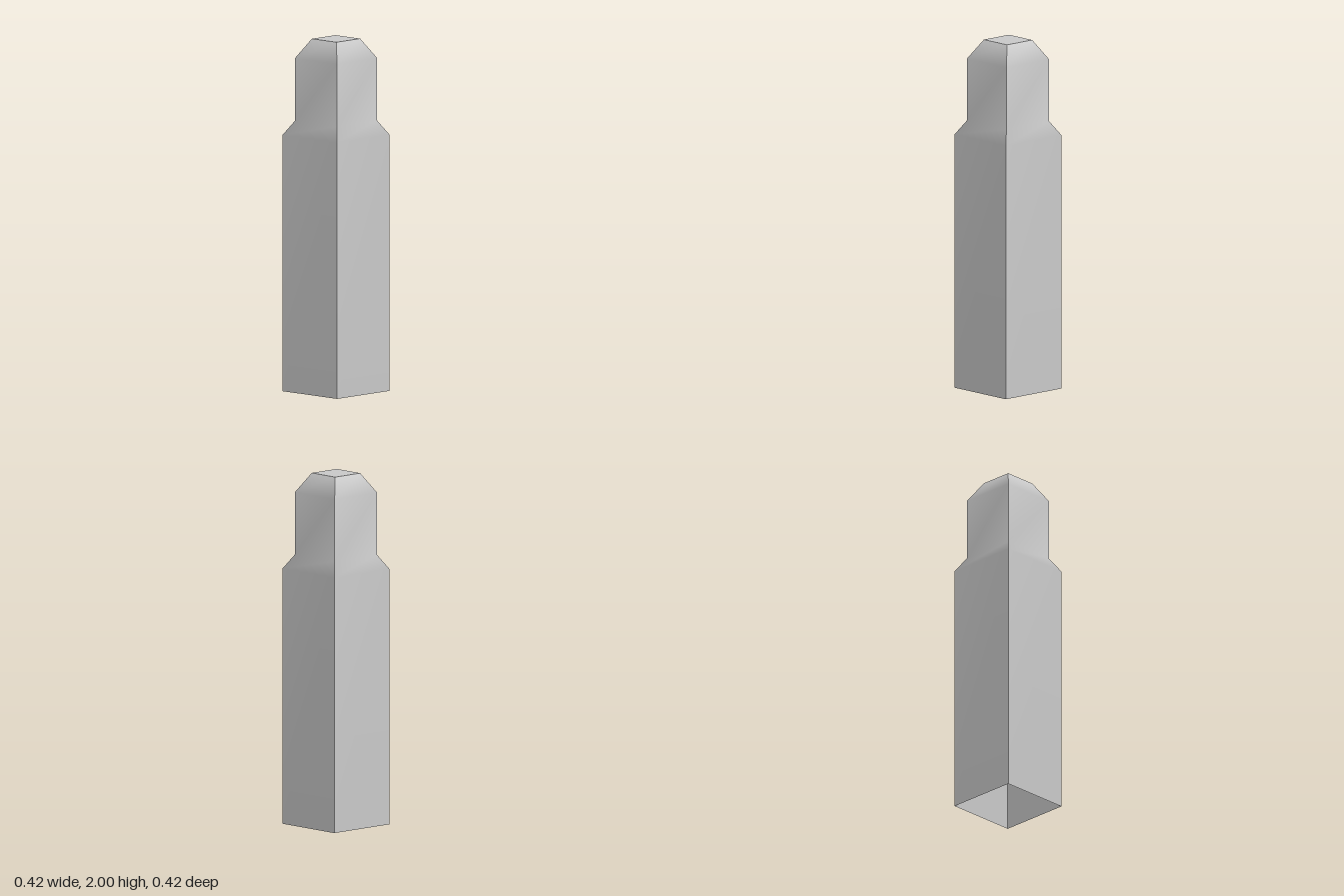
import * as THREE from 'three';

// Half width and height of the post, from the top down
const PROFILE = [
  [0.096, 2], [0.163, 1.89], [0.163, 1.535], [0.212, 1.455], [0.212, 0],
];

// One side of the post: a strip bent to the profile, smooth along its height
function sideGeometry() {
  const geometry = new THREE.PlaneGeometry(2, 1, 1, PROFILE.length - 1);
  const position = geometry.attributes.position;
  for (let i = 0; i < position.count; i++) {
    const [half, y] = PROFILE[Math.floor(i / 2)];
    position.setXYZ(i, position.getX(i) * half, y, half);
  }
  geometry.computeVertexNormals();
  return geometry;
}

export function createModel() {
  const group = new THREE.Group();
  group.name = 'post';
  const material = new THREE.MeshStandardMaterial({ color: 0xcccccc, side: THREE.DoubleSide });

  // Four equal sides, open at the bottom
  const geometry = sideGeometry();
  ['frontSide', 'leftSide', 'backSide', 'rightSide'].forEach((name, i) => {
    const side = new THREE.Mesh(geometry, material);
    side.name = name;
    side.rotation.y = (i * Math.PI) / 2;
    group.add(side);
  });

  // Flat top
  const [half, height] = PROFILE[0];
  const top = new THREE.Mesh(new THREE.PlaneGeometry(half * 2, half * 2), material);
  top.name = 'topCap';
  top.rotation.x = -Math.PI / 2;
  top.position.y = height;
  group.add(top);

  return group;
}
